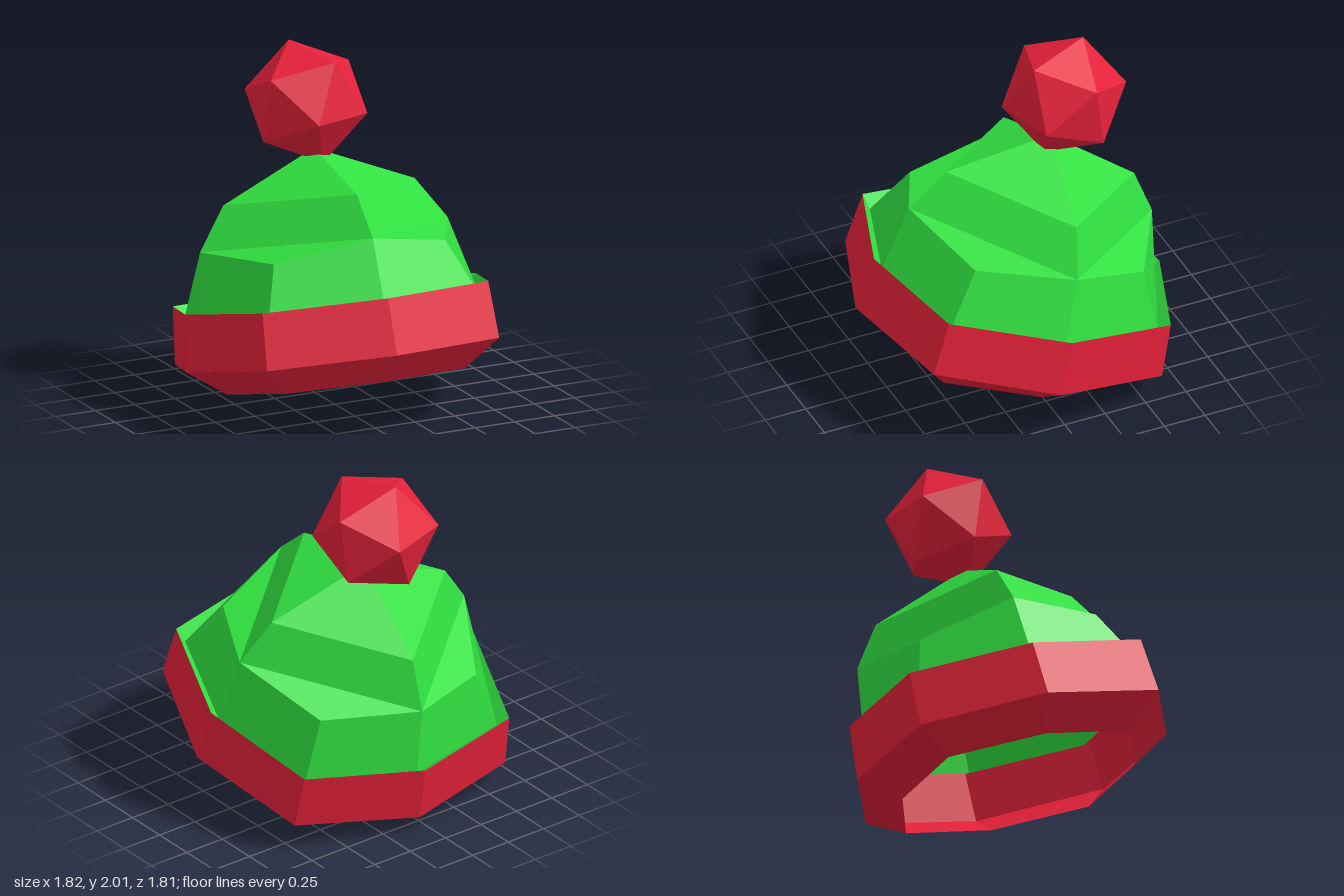
import * as THREE from 'three';

const material = (color) => new THREE.MeshStandardMaterial({ color, side: THREE.DoubleSide });
const red = material(0xe6213a);
const green = material(0x30e040);

const SIDES = 8;
const TWIST = -0.078;

// Each profile row: [side radius, side height, corner radius, corner height]
function squaredLoft(name, rows, mat) {
  const point = (row, k) => {
    const angle = (k * Math.PI * 2) / SIDES + TWIST;
    const [r, h] = k % 2 ? row.slice(2) : row;
    return new THREE.Vector3(r * Math.sin(angle), h, r * Math.cos(angle));
  };
  const positions = [];
  const normals = [];
  for (let i = 0; i < rows.length - 1; i++) {
    for (let k = 0; k < SIDES; k++) {
      const a = point(rows[i], k), b = point(rows[i], k + 1);
      const c = point(rows[i + 1], k + 1), d = point(rows[i + 1], k);
      // one normal per panel keeps slightly bent panels evenly shaded
      const normal = c.clone().sub(a).cross(d.clone().sub(b)).normalize();
      // diagonals run to the corners, so the two halves mirror each other
      const triangles = k % 2 ? [[a, b, c], [a, c, d]] : [[a, b, d], [b, c, d]];
      for (const triangle of triangles) {
        if (new THREE.Triangle(...triangle).getArea() < 1e-6) continue;
        for (const p of triangle) {
          positions.push(...p.toArray());
          normals.push(...normal.toArray());
        }
      }
    }
  }
  const geo = new THREE.BufferGeometry();
  geo.setAttribute('position', new THREE.Float32BufferAttribute(positions, 3));
  geo.setAttribute('normal', new THREE.Float32BufferAttribute(normals, 3));
  const mesh = new THREE.Mesh(geo, mat);
  mesh.name = name;
  return mesh;
}

export function createModel() {
  const model = new THREE.Group();
  model.name = 'knittedHat';

  // Hat body, tipped backwards
  const hat = new THREE.Group();
  hat.name = 'hat';
  hat.position.set(0, 0.63, -0.053);
  hat.rotation.x = -0.253;
  model.add(hat);

  // Open folded brim: inward lip, widest edge, upper edge
  hat.add(squaredLoft('brim', [
    [0.687, -0.477, 0.765, -0.477],
    [0.914, -0.323, 0.995, -0.323],
    [0.88, 0, 0.968, 0],
  ], red));

  // Crown: groove inside the brim, wall, corner ledge, shoulder, four-sided peak
  hat.add(squaredLoft('crown', [
    [0.88, 0, 0.968, 0],
    [0.815, -0.07, 0.905, -0.07],
    [0.75, 0.335, 0.735, 0.25],
    [0.75, 0.335, 0.53, 0.335],
    [0.58, 0.577, 0.41, 0.577],
    [0, 0.825, 0, 0.825],
  ], green));

  // Pompom, turned to rest at an angle on the peak
  const pompom = new THREE.Mesh(new THREE.IcosahedronGeometry(0.357, 0), red);
  pompom.name = 'pompom';
  const up = new THREE.Vector3(0.03, 0.56, 0.075).normalize();
  const side = new THREE.Vector3(0.11, -0.06, 0.355);
  side.addScaledVector(up, -side.dot(up)).normalize();
  const third = new THREE.Vector3().crossVectors(side, up);
  pompom.quaternion.setFromRotationMatrix(new THREE.Matrix4().makeBasis(side, up, third));
  pompom.position.set(-0.005, 1.68, -0.347);
  model.add(pompom);

  return model;
}
